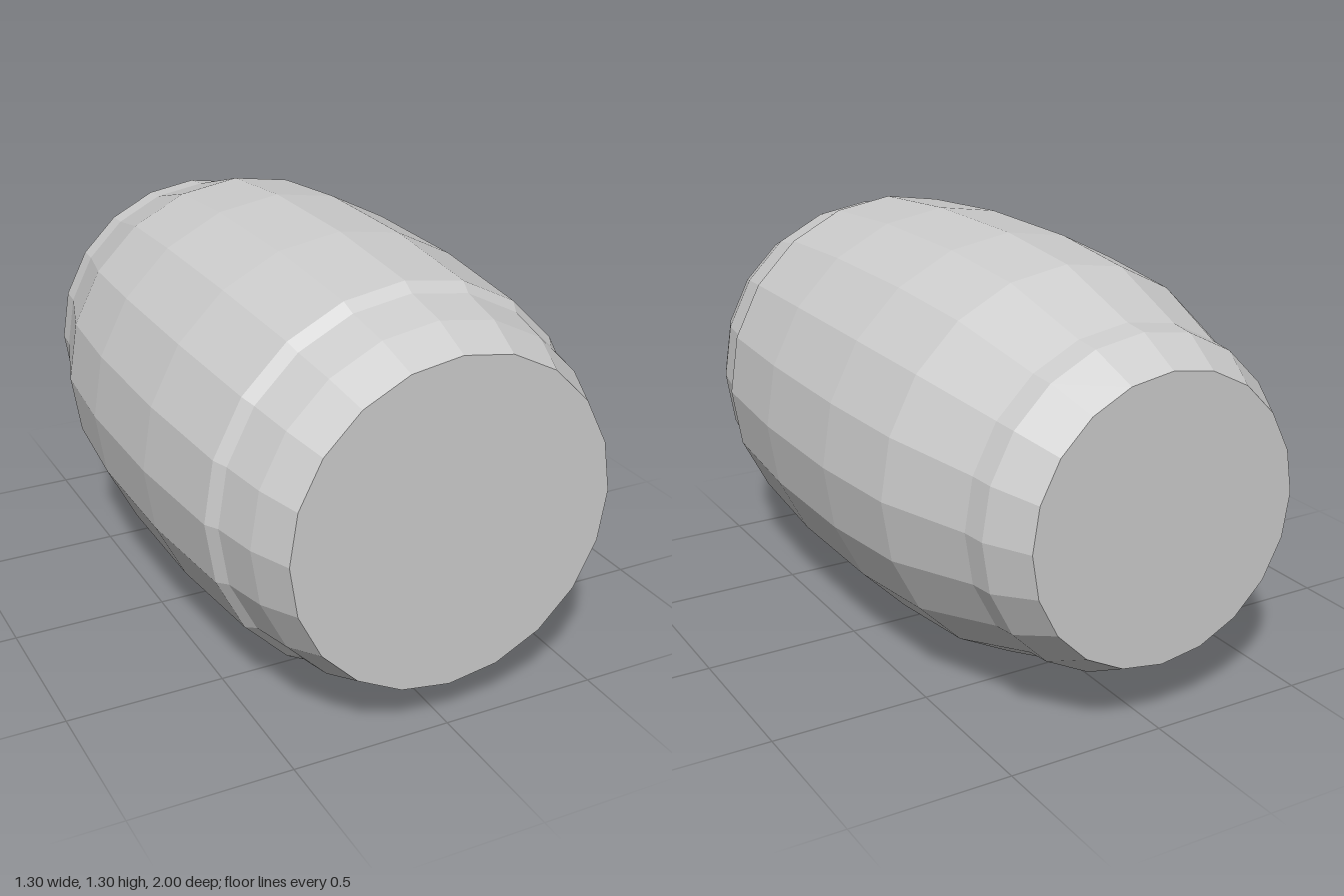
import * as THREE from 'three';

const SIDES = 20;
const CENTRE_Y = 0.65;

// Radius and z of each ring, from the back end to the front end
const PROFILE = [
  [0.44, -1], [0.513, -0.86], [0.521, -0.78], [0.62, -0.47], [0.65, -0.14],
  [0.65, 0.29], [0.62, 0.68], [0.595, 0.72], [0.567, 0.87], [0.513, 1],
];

// Separate the faces so that every facet is flat
function faceted(geometry) {
  const flat = geometry.toNonIndexed();
  flat.computeVertexNormals();
  return flat;
}

export function createModel() {
  const group = new THREE.Group();
  group.name = 'barrel';
  const grey = new THREE.MeshStandardMaterial({ color: 0xcccccc, flatShading: true });
  grey.name = 'grey';

  // Bulging shell, turned to lie along z
  const points = PROFILE.map(([r, z]) => new THREE.Vector2(r, z));
  const shell = new THREE.Mesh(faceted(new THREE.LatheGeometry(points, SIDES).rotateX(Math.PI / 2)), grey);
  shell.name = 'shell';
  shell.position.y = CENTRE_Y;
  group.add(shell);

  // Flat lids closing both ends
  const addLid = (name, [radius, z]) => {
    const lid = new THREE.Mesh(new THREE.CircleGeometry(radius, SIDES), grey);
    lid.name = name;
    lid.position.set(0, CENTRE_Y, z);
    if (z < 0) lid.rotation.y = Math.PI;
    group.add(lid);
  };
  addLid('backLid', PROFILE[0]);
  addLid('frontLid', PROFILE[PROFILE.length - 1]);

  return group;
}
